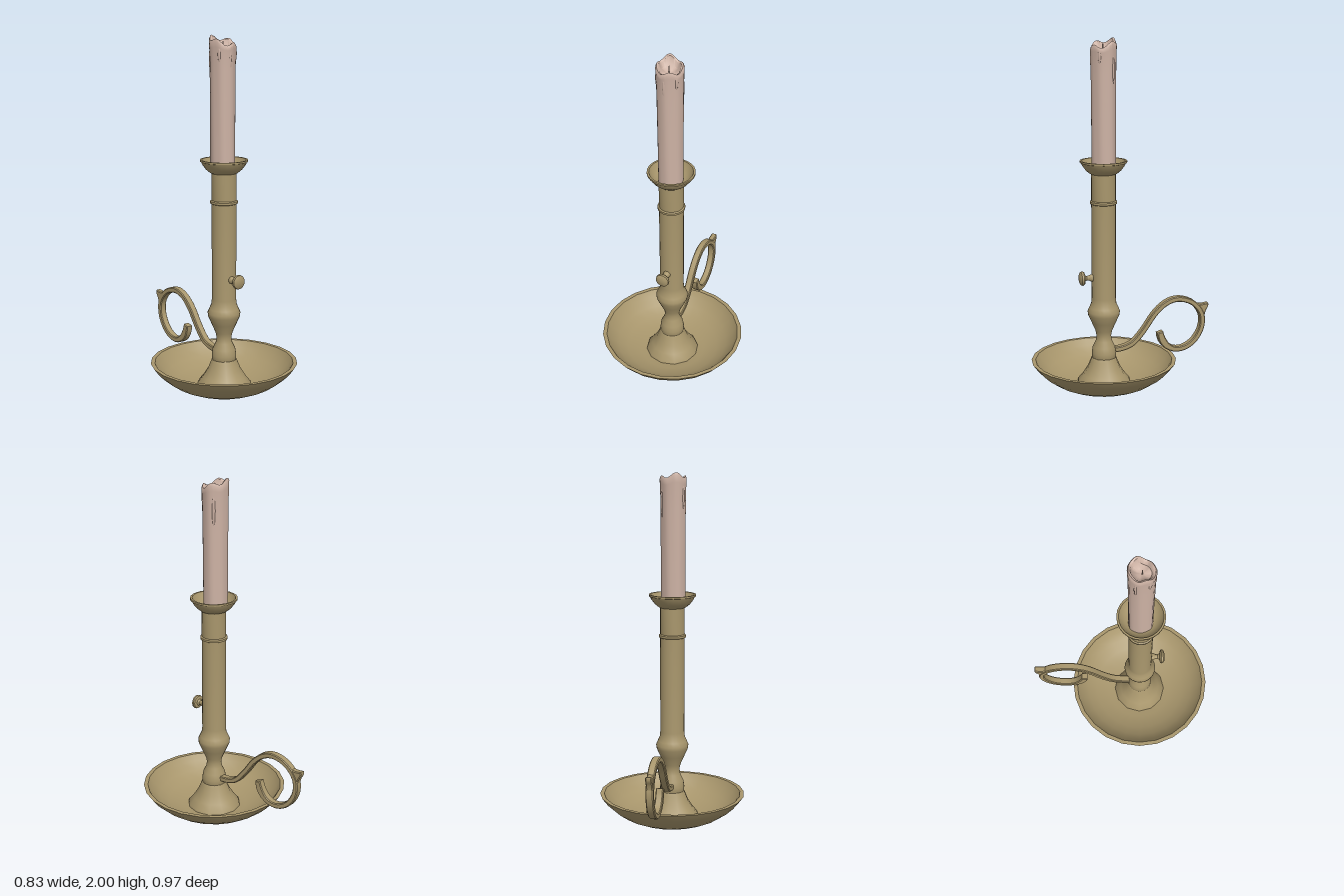
import * as THREE from 'three';
import { toCreasedNormals } from 'three/addons/utils/BufferGeometryUtils.js';

const brass = new THREE.MeshStandardMaterial({ color: 0xa8966c });
brass.name = 'aged brass';
const wax = new THREE.MeshStandardMaterial({ color: 0xcdb2a4 });
wax.name = 'pale pink wax';

const AXIS_Z = 0.068; // the dish centre sits forward of the origin
const OUT_ANGLE = Math.PI - 1.03; // heading of the handle, back right

const points = (list) => list.map(([x, y]) => new THREE.Vector2(x, y));

function lathe(name, profile, sides, material, crease = 0.6) {
  const geometry = toCreasedNormals(new THREE.LatheGeometry(points(profile), sides), crease);
  const mesh = new THREE.Mesh(geometry, material);
  mesh.name = name;
  return mesh;
}

// Flat band of changing thickness that follows a planar curve
function bandShape(path, thickness, steps) {
  const curve = new THREE.SplineCurve(points(path));
  const left = [], right = [];
  for (let i = 0; i <= steps; i++) {
    const t = i / steps;
    const p = curve.getPointAt(t);
    const d = curve.getTangentAt(t);
    const h = thickness(t) / 2;
    left.push(new THREE.Vector2(p.x - d.y * h, p.y + d.x * h));
    right.push(new THREE.Vector2(p.x + d.y * h, p.y - d.x * h));
  }
  return new THREE.Shape([...left, ...right.reverse()]);
}

function plate(name, shape, width, bevel) {
  const geometry = new THREE.ExtrudeGeometry(shape, {
    depth: width - 2 * bevel, bevelEnabled: true, bevelSize: bevel,
    bevelThickness: bevel, bevelOffset: -bevel, bevelSegments: 1,
  });
  geometry.translate(0, 0, bevel - width / 2);
  const mesh = new THREE.Mesh(toCreasedNormals(geometry, 0.5), brass);
  mesh.name = name;
  return mesh;
}

function createHandle() {
  const handle = new THREE.Group();
  handle.name = 'handle';
  const path = [
    [0.04, 0.215], [0.11, 0.22], [0.175, 0.245], [0.24, 0.315], [0.305, 0.405],
    [0.37, 0.462], [0.44, 0.485], [0.515, 0.47], [0.57, 0.43], [0.602, 0.37],
    [0.597, 0.295], [0.555, 0.225], [0.495, 0.187], [0.435, 0.182], [0.385, 0.205],
    [0.352, 0.25], [0.34, 0.295],
  ];
  const thickness = (t) => 0.031 + 0.012 * Math.exp(-(((t - 0.95) / 0.05) ** 2));
  handle.add(plate('handleLoop', bandShape(path, thickness, 48), 0.042, 0.005));

  // Pointed thumb spur on the outer bend
  const spur = new THREE.Shape();
  spur.moveTo(0.555, 0.45);
  spur.quadraticCurveTo(0.59, 0.437, 0.638, 0.448);
  spur.quadraticCurveTo(0.645, 0.43, 0.63, 0.41);
  spur.quadraticCurveTo(0.618, 0.39, 0.615, 0.355);
  spur.lineTo(0.59, 0.37);
  handle.add(plate('handleSpur', spur, 0.036, 0.005));
  handle.rotation.y = OUT_ANGLE;
  return handle;
}

function createCandle() {
  const candle = new THREE.Group();
  candle.name = 'candle';
  const body = new THREE.LatheGeometry(points([
    [0.068, 1.25], [0.068, 1.45], [0.069, 1.65], [0.07, 1.8], [0.071, 1.88],
    [0.073, 1.93], [0.074, 1.955], [0.068, 1.968], [0.058, 1.962],
    [0.048, 1.935], [0.025, 1.922], [0, 1.92],
  ]), 28);
  // Uneven melted sides and a rim that rises toward the back right
  const p = body.attributes.position;
  for (let i = 0; i < p.count; i++) {
    const x = p.getX(i), y = p.getY(i), z = p.getZ(i);
    const a = Math.atan2(x, z), r = Math.hypot(x, z);
    const ripple = 1 + 0.025 * Math.sin(3 * a + 1) + 0.02 * Math.sin(7 * a + y * 2);
    const rim = THREE.MathUtils.smoothstep(y, 1.9, 1.96) * Math.min(1, r / 0.05);
    const lift = 0.018 * Math.cos(a + 2.2) + 0.012 * Math.cos(4 * (a + 2.2));
    p.setXYZ(i, x * ripple, y + rim * lift, z * ripple);
  }
  const bodyMesh = new THREE.Mesh(toCreasedNormals(body, 0.7), wax);
  bodyMesh.name = 'candleBody';
  candle.add(bodyMesh);

  // Wax runs down the sides
  const drip = new THREE.SphereGeometry(1, 8, 8);
  [[0.5, 1.88, 0.07], [1.5, 1.9, 0.045], [2.7, 1.83, 0.09], [-1.5, 1.87, 0.08], [-0.4, 1.9, 0.05]]
    .forEach(([a, y, length]) => {
      const mesh = new THREE.Mesh(drip, wax);
      mesh.name = 'waxDrip';
      mesh.scale.set(0.01, length, 0.01);
      mesh.position.set(Math.sin(a) * 0.066, y, Math.cos(a) * 0.066);
      candle.add(mesh);
    });

  const wick = new THREE.Mesh(new THREE.CylinderGeometry(0.003, 0.004, 0.05, 6), wax);
  wick.name = 'wick';
  wick.position.set(0, 1.94, 0.004);
  candle.add(wick);
  candle.position.x = -0.007;
  return candle;
}

export function createModel() {
  const model = new THREE.Group();
  model.name = 'chamberstick';
  const stick = new THREE.Group();
  stick.name = 'candlestick';
  stick.position.z = AXIS_Z;
  model.add(stick);

  // Shallow drip dish
  stick.add(lathe('dish', [
    [0, 0], [0.175, 0.003], [0.235, 0.02], [0.29, 0.045], [0.345, 0.083], [0.385, 0.12],
    [0.41, 0.153], [0.417, 0.163], [0.394, 0.163], [0.37, 0.125], [0.325, 0.085],
    [0.27, 0.053], [0.19, 0.028], [0, 0.022],
  ], 24, brass));

  // Flared foot standing in the dish
  stick.add(lathe('foot', [
    [0.157, 0.02], [0.152, 0.038], [0.122, 0.075], [0.095, 0.118], [0.078, 0.16], [0.07, 0.178],
  ], 12, brass, 1));

  // Turned stem and tube with a thin ring
  stick.add(lathe('stem', [
    [0.064, 0.165], [0.07, 0.18], [0.07, 0.205], [0.064, 0.24], [0.047, 0.275], [0.042, 0.305],
    [0.048, 0.335], [0.07, 0.385], [0.09, 0.43], [0.093, 0.452], [0.083, 0.475],
    [0.072, 0.5], [0.069, 0.53], [0.069, 1.075], [0.077, 1.079], [0.077, 1.091],
    [0.069, 1.096], [0.069, 1.25],
  ], 24, brass));

  // Drip cup around the candle
  stick.add(lathe('cup', [
    [0.066, 1.245], [0.078, 1.25], [0.1, 1.268], [0.12, 1.294], [0.127, 1.31], [0.133, 1.312],
    [0.133, 1.322], [0.122, 1.322], [0.112, 1.298], [0.092, 1.275], [0.07, 1.262], [0.04, 1.262],
  ], 24, brass));

  // Mushroom knob of the candle lifter, opposite the handle
  const knobArm = new THREE.Group();
  knobArm.name = 'lifterKnob';
  const knob = lathe('knob', [
    [0.022, 0.055], [0.02, 0.078], [0.014, 0.088], [0.013, 0.103], [0.02, 0.113],
    [0.037, 0.117], [0.041, 0.124], [0.039, 0.135], [0.026, 0.142], [0, 0.144],
  ], 14, brass);
  knob.rotation.z = Math.PI / 2;
  knob.position.y = 0.652;
  knobArm.rotation.y = OUT_ANGLE;
  knobArm.add(knob);
  stick.add(knobArm);

  stick.add(createHandle(), createCandle());
  return model;
}
